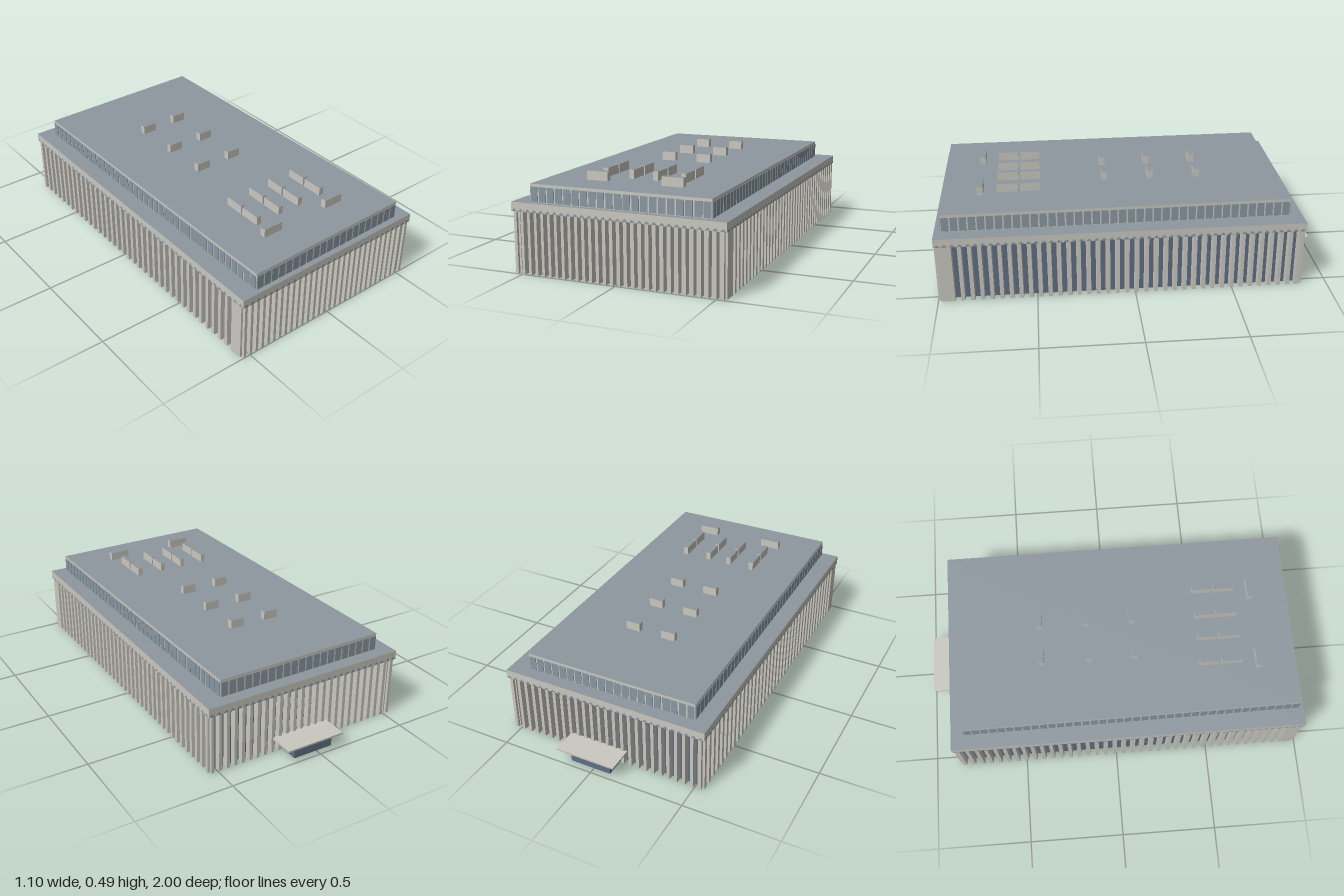
import * as THREE from 'three';
import { mergeGeometries } from 'three/addons/utils/BufferGeometryUtils.js';

const material = (name, color, side = THREE.FrontSide) => {
  const m = new THREE.MeshStandardMaterial({ color, side });
  m.name = name;
  return m;
};

export function createModel() {
  const model = new THREE.Group();
  model.name = 'colonnadedBuilding';
  const concrete = material('paleConcrete', 0xcac8c0);
  const glass = material('darkBlueGlass', 0x5f7084);
  const roofing = material('greyBlueRoofing', 0x8e989f);
  const paneBlue = material('paleBlueGlass', 0x8a98a3);

  const add = (name, geometry, mat) => {
    const mesh = new THREE.Mesh(geometry, mat);
    mesh.name = name;
    model.add(mesh);
    return mesh;
  };
  // box given by its minimum and maximum corners
  const boxGeo = (x0, x1, y0, y1, z0, z1) =>
    new THREE.BoxGeometry(x1 - x0, y1 - y0, z1 - z0)
      .translate((x0 + x1) / 2, (y0 + y1) / 2, (z0 + z1) / 2);
  const topped = [concrete, concrete, roofing, concrete, concrete, concrete];

  // n copies of a part spread along a facade; local +z faces outward
  const spread = (geo, [x0, z0], [x1, z1], n) => {
    const angle = Math.atan2(z0 - z1, x1 - x0);
    return Array.from({ length: n }, (_, i) => {
      const t = (i + 0.5) / n;
      return geo.clone().rotateY(angle)
        .translate(x0 + (x1 - x0) * t, 0, z0 + (z1 - z0) * t);
    });
  };
  // corners run front-left, front-right, back-right, back-left in plan
  const ring = (corners, counts, makePart) => mergeGeometries(
    corners.flatMap((c, i) => {
      const d = corners[(i + 1) % 4];
      const length = Math.hypot(d[0] - c[0], d[1] - c[1]);
      return spread(makePart(length / counts[i]), c, d, counts[i]);
    }));

  // hollow building shell, open underneath
  const wallTop = 0.312;
  add('rightGlassWall', boxGeo(0.505, 0.512, 0, wallTop, -0.835, 0.955), glass);
  add('leftGlassWall', boxGeo(-0.512, -0.505, 0, wallTop, -0.835, 0.955), glass);
  add('backGlassWall', boxGeo(-0.512, 0.512, 0, wallTop, -0.838, -0.831), glass);
  add('frontWall', boxGeo(-0.512, 0.512, 0, wallTop, 0.955, 0.965), concrete);
  for (const s of [-1, 1]) {
    add('frontCornerPanel', boxGeo(s * 0.53 - 0.018, s * 0.53 + 0.018, 0, wallTop, 0.92, 0.965), concrete);
  }

  // closely set vertical piers, tapered outward
  const plan = [[-0.548, 0.998], [0.548, 0.998], [0.548, -0.868], [-0.548, -0.868]];
  const pier = (pitch) => {
    const w = pitch * 0.25, depth = 0.037;
    const shape = new THREE.Shape([
      new THREE.Vector2(-w, depth), new THREE.Vector2(-w * 0.8, 0),
      new THREE.Vector2(w * 0.8, 0), new THREE.Vector2(w, depth),
    ]);
    return new THREE.ExtrudeGeometry(shape, { depth: wallTop, bevelEnabled: false })
      .rotateX(-Math.PI / 2);
  };
  add('facadePiers', ring(plan, [30, 38, 26, 38], pier), concrete);

  // overhanging eaves slab with a row of small triangular recess panels
  add('eavesSlab', boxGeo(-0.55, 0.55, 0.31, 0.355, -0.87, 1), topped);
  const eaves = [[-0.551, 1], [0.551, 1], [0.551, -0.871], [-0.551, -0.871]];
  const triangle = (pitch) => new THREE.ShapeGeometry(new THREE.Shape([
    new THREE.Vector2(-pitch * 0.42, 0.311),
    new THREE.Vector2(pitch * 0.42, 0.311),
    new THREE.Vector2(0, 0.326),
  ])).translate(0, 0, 0.0005);
  add('eavesTriangles', ring(eaves, [30, 50, 30, 50], triangle), paneBlue);

  // slightly skewed upper storey
  const upper = [[-0.455, 0.975], [0.468, 0.965], [0.45, -0.805], [-0.47, -0.8]];
  const outline = new THREE.Shape(upper.map(([x, z]) => new THREE.Vector2(x, -z)));
  add('upperStorey',
    new THREE.ExtrudeGeometry(outline, { depth: 0.092, bevelEnabled: false })
      .rotateX(-Math.PI / 2).translate(0, 0.354, 0),
    [roofing, concrete]);
  const pane = (pitch) => new THREE.BoxGeometry(pitch * 0.82, 0.074, 0.004)
    .translate(0, 0.395, 0.001);
  add('upperWindows', ring(upper, [21, 40, 21, 40], pane), paneBlue);

  // rooftop equipment boxes: x0, x1, z0, z1
  const units = [[-0.25, -0.14, 0.76, 0.79], [0.145, 0.255, 0.76, 0.79]];
  for (const z of [-0.37, -0.12, 0.125]) {
    units.push([-0.148, -0.07, z - 0.015, z + 0.015], [0.053, 0.13, z - 0.015, z + 0.015]);
  }
  for (const x of [-0.2, -0.06, 0.067, 0.213]) {
    units.push([x - 0.013, x + 0.013, 0.465, 0.57], [x - 0.013, x + 0.013, 0.58, 0.69]);
  }
  for (const [x0, x1, z0, z1] of units) {
    add('roofUnit', boxGeo(x0, x1, 0.44, 0.491, z0, z1), topped);
  }

  // rear entrance: glazed lobby walls under a flat canopy
  add('entranceCanopy', boxGeo(-0.13, 0.19, 0.071, 0.08, -1, -0.86), concrete);
  add('entranceBackGlass', boxGeo(-0.09, 0.13, 0, 0.072, -0.965, -0.958), glass);
  for (const x of [-0.09, 0.123]) {
    add('entranceSideGlass', boxGeo(x, x + 0.007, 0, 0.072, -0.96, -0.835), glass);
  }
  return model;
}
